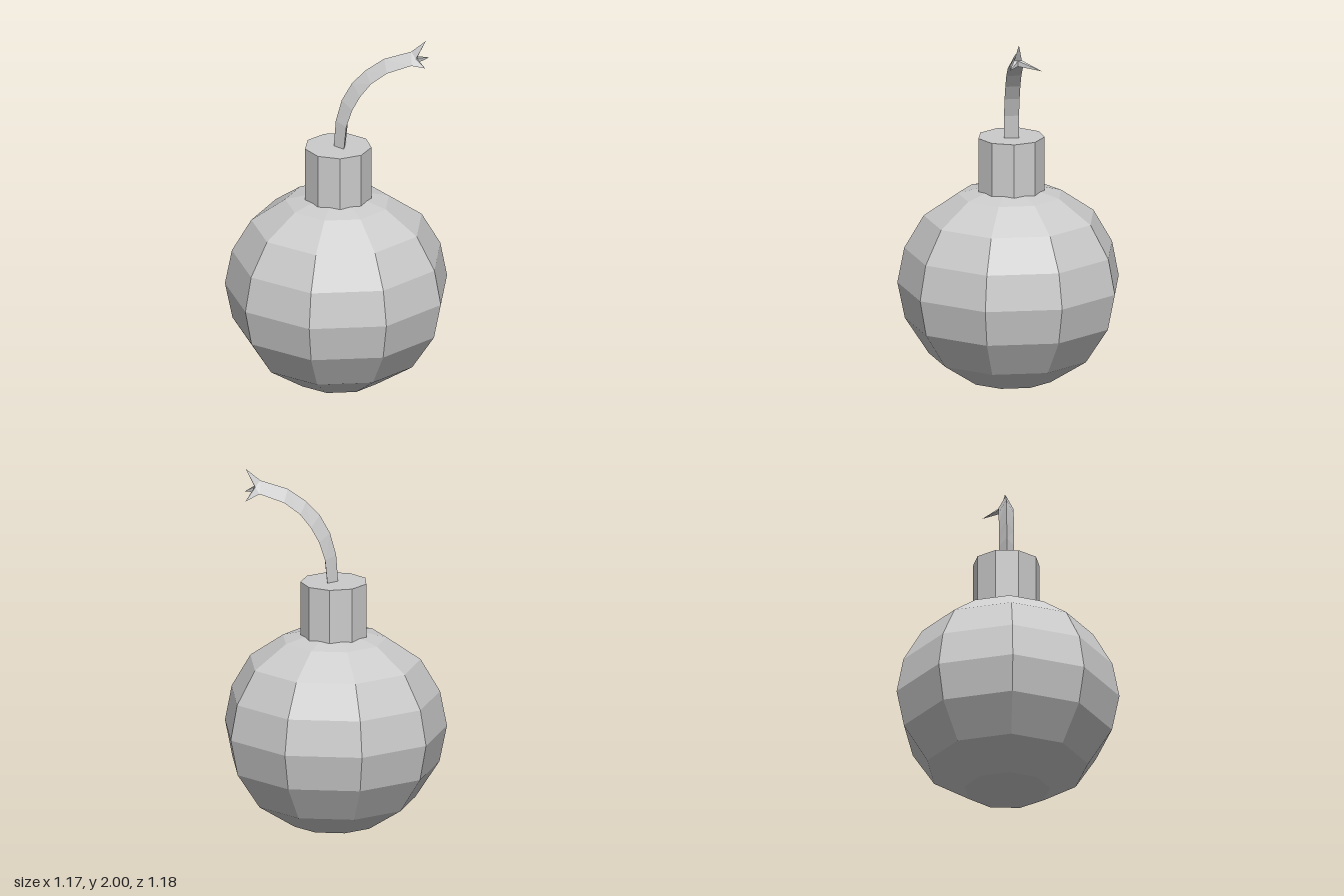
import * as THREE from 'three';

const SIDES = 9;
const CX = 0.014, CZ = -0.009;
const deg = THREE.MathUtils.degToRad;
const v = (x, y, z) => new THREE.Vector3(x, y, z);

export function createModel() {
  const group = new THREE.Group();
  const grey = new THREE.MeshStandardMaterial({ color: 0xcccccc, flatShading: true });
  const thin = grey.clone();
  thin.side = THREE.DoubleSide;

  const add = (name, geometry, material = grey) => {
    const mesh = new THREE.Mesh(geometry, material);
    mesh.name = name;
    group.add(mesh);
    return mesh;
  };

  // Faceted round body: radius and height of each ring, bottom to top
  const profile = [
    [0, 0], [0.23, 0.05], [0.433, 0.18], [0.56, 0.372], [0.6, 0.567],
    [0.563, 0.757], [0.46, 0.935], [0.28, 1.06], [0, 1.13],
  ].map(([r, y]) => new THREE.Vector2(r, y));
  add('body', new THREE.LatheGeometry(profile, SIDES, deg(31.8))).position.set(CX, 0, CZ);

  // Neck, sunk slightly into the body
  const neck = new THREE.CylinderGeometry(0.179, 0.179, 0.315, SIDES, 1, false, deg(10));
  add('neck', neck).position.set(CX, 1.2175, -0.012);

  // Fuse: triangular section, ridge on the outside of the bend, flat on the inside
  const ridge = [[-0.008, 1.365], [0.003, 1.52], [0.035, 1.64], [0.09, 1.74],
    [0.16, 1.815], [0.26, 1.887], [0.405, 1.935]];
  const flat = [[0.05, 1.365], [0.063, 1.5], [0.095, 1.6], [0.138, 1.68],
    [0.195, 1.755], [0.28, 1.82], [0.41, 1.87]];
  const rings = ridge.map(([x, y], i) => {
    const [fx, fy] = flat[i];
    return [v(x, y, -0.01), v(fx, fy, 0.03), v(fx, fy, -0.05)];
  });
  const fuse = [], fray = [];
  for (let i = 0; i < rings.length - 1; i++) {
    for (let k = 0; k < 3; k++) {
      const n = (k + 1) % 3;
      const a = rings[i][k], b = rings[i][n], c = rings[i + 1][n], d = rings[i + 1][k];
      fuse.push(a, b, c, a, c, d);
    }
  }
  add('fuse', new THREE.BufferGeometry().setFromPoints(fuse), thin);

  // Frayed end: one pointed strand growing from each corner of the last ring
  const end = rings[rings.length - 1];
  const tips = [v(0.483, 2.0, -0.01), v(0.485, 1.862, 0.037), v(0.488, 1.855, -0.132)];
  const notch = v(0.435, 1.9, -0.01);
  const gaps = end.map((p, k) => p.clone().lerp(end[(k + 1) % 3], 0.5).add(v(0.025, 0, 0)));
  for (let k = 0; k < 3; k++) {
    const n = (k + 1) % 3, before = gaps[(k + 2) % 3], after = gaps[k];
    fray.push(end[k], after, tips[k], end[k], tips[k], before);
    fray.push(tips[k], after, notch, tips[k], notch, before);
    fray.push(end[k], end[n], after);
  }
  add('frayedEnd', new THREE.BufferGeometry().setFromPoints(fray), thin);

  // Triangles built from points get one normal per face
  group.children.forEach((m) => m.geometry.computeVertexNormals());
  return group;
}
